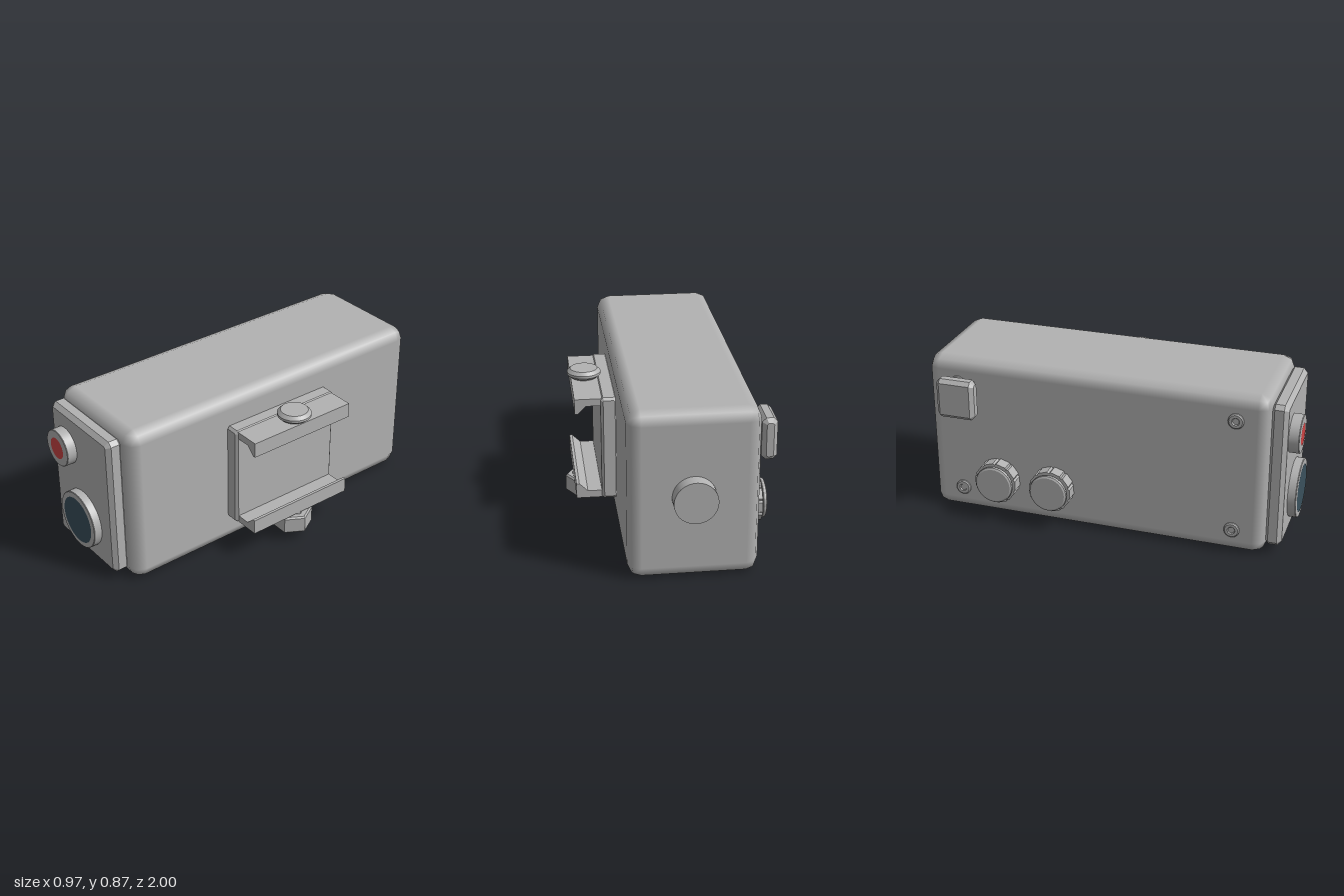
import * as THREE from 'three';
import { RoundedBoxGeometry } from 'three/addons/geometries/RoundedBoxGeometry.js';
import { toCreasedNormals } from 'three/addons/utils/BufferGeometryUtils.js';

const material = (name, color) => {
  const m = new THREE.MeshStandardMaterial({ color });
  m.name = name;
  return m;
};

export function createModel() {
  const grey = material('grey casing', 0xb2b2b2);
  const red = material('red lens', 0xcb4444);
  const blue = material('dark blue glass', 0x3a505c);
  const model = new THREE.Group();
  model.name = 'opticalUnit';

  const add = (name, geometry, mat, x, y, z, parent = model) => {
    const mesh = new THREE.Mesh(geometry, mat);
    mesh.name = name;
    mesh.position.set(x, y, z);
    parent.add(mesh);
    return mesh;
  };
  const polygon = (points) => new THREE.Shape(points.map(([x, y]) => new THREE.Vector2(x, y)));

  // Box with every edge cut at 45 degrees, centred on the origin
  const chamferBox = (w, h, d, c) => {
    const a = w / 2 - c, b = h / 2 - c, k = c * 0.4;
    const shape = polygon([[-a + k, -b], [a - k, -b], [a, -b + k], [a, b - k], [a - k, b], [-a + k, b], [-a, b - k], [-a, -b + k]]);
    const g = new THREE.ExtrudeGeometry(shape, { depth: d - 2 * c, bevelSize: c, bevelThickness: c, bevelSegments: 1 });
    g.translate(0, 0, -(d - 2 * c) / 2);
    return toCreasedNormals(g, 0.3);
  };
  // Turned part: profile of [radius, height] pairs, axis along y
  const turned = (points, sides = 40, crease = 0.5) =>
    toCreasedNormals(new THREE.LatheGeometry(points.map(([r, h]) => new THREE.Vector2(r, h)), sides), crease);

  // Main housing
  add('housing', new RoundedBoxGeometry(0.635, 0.865, 1.8, 1, 0.065), grey, -0.0775, 0.4325, -0.03);

  // Front plate with two lens barrels
  add('frontPlate', chamferBox(0.52, 0.775, 0.09, 0.022), grey, -0.095, 0.433, 0.9);
  const lens = (name, x, y, r, glassR, front, mat) => {
    const back = 0.93;
    const c = 0.003;
    const barrel = turned([[0, 0], [r, 0], [r, front - back - c], [r - c, front - back], [0, front - back]], 48);
    add(name + 'Barrel', barrel.rotateX(Math.PI / 2), grey, x, y, back);
    add(name + 'Glass', new THREE.CircleGeometry(glassR, 48), mat, x, y, front + 0.002);
  };
  lens('upperLens', -0.223, 0.628, 0.098, 0.057, 0.998, red);
  lens('lowerLens', -0.093, 0.26, 0.154, 0.125, 0.988, blue);

  // Round rear connector
  const rear = new THREE.CylinderGeometry(0.106, 0.106, 0.09, 40).rotateX(Math.PI / 2);
  add('rearConnector', rear, grey, -0.074, 0.435, -0.955);

  // Rail clamp on the left flank
  const clamp = new THREE.Group();
  clamp.name = 'railClamp';
  model.add(clamp);
  add('clampPlate', chamferBox(0.085, 0.555, 0.642, 0.013), grey, 0.2725, 0.4325, -0.029, clamp);
  const jaw = polygon([[0.3, 0.16], [0.445, 0.16], [0.445, 0.24], [0.43, 0.24], [0.387, 0.198], [0.3, 0.198]]);
  const upperJaw = polygon([[0.3, 0.705], [0.3, 0.667], [0.387, 0.667], [0.43, 0.625], [0.445, 0.625], [0.445, 0.705]]);
  for (const [name, shape] of [['lowerJaw', jaw], ['upperJaw', upperJaw]]) {
    const g = new THREE.ExtrudeGeometry(shape, { depth: 0.615, bevelEnabled: false });
    add(name, g, grey, 0, 0, -0.337, clamp);
  }
  // Round bolt head above, hexagonal nut below
  add('boltHead', turned([[0, 0], [0.062, 0], [0.062, 0.012], [0.073, 0.012], [0.087, 0.025], [0.087, 0.038],
    [0.07, 0.055], [0, 0.055]], 32), grey, 0.376, 0.7, -0.028, clamp);
  const nut = turned([[0, 0], [0.101, 0], [0.107, 0.006], [0.107, 0.086], [0.098, 0.095], [0.07, 0.095],
    [0.07, 0.108], [0, 0.108]], 6, 0.2);
  add('hexNut', nut.rotateY(Math.PI / 2), grey, 0.378, 0.055, -0.026, clamp);

  // Controls on the right flank, built along +y and turned to face -x
  const onSide = (g) => g.rotateZ(Math.PI / 2);
  add('switchBlock', chamferBox(0.075, 0.212, 0.205, 0.02), grey, -0.4425, 0.67, -0.747);
  add('switchBase', new THREE.BoxGeometry(0.03, 0.15, 0.15), grey, -0.395, 0.67, -0.747);
  for (const z of [-0.55, -0.25]) {
    const knob = new THREE.Group();
    knob.name = 'controlKnob';
    knob.position.set(-0.385, 0.217, z);
    model.add(knob);
    // Grip with shallow notches between its flats
    const points = [];
    for (let i = 0; i < 10; i++) {
      for (const [offset, r] of [[-0.23, 0.114], [0.23, 0.114], [0.314, 0.106]]) {
        const a = (i * Math.PI) / 5 + offset;
        points.push([r * Math.cos(a), r * Math.sin(a)]);
      }
    }
    const grip = new THREE.ExtrudeGeometry(polygon(points), { depth: 0.074, bevelEnabled: false });
    add('knobGrip', grip.rotateY(-Math.PI / 2), grey, 0, 0, 0, knob);
    add('knobCap', onSide(turned([[0, 0.06], [0.088, 0.06], [0.088, 0.078], [0.099, 0.081], [0.101, 0.088],
      [0.099, 0.095], [0.09, 0.1], [0, 0.1]])), grey, 0, 0, 0, knob);
  }

  // Four recessed screws near the corners
  for (const y of [0.13, 0.733]) {
    for (const z of [-0.76, 0.7]) {
      const head = turned([[0.04, 0], [0.04, 0.012], [0.034, 0.017], [0.02, 0.017], [0.016, 0.011], [0, 0.011]], 24);
      add('screw', onSide(head), grey, -0.39, y, z);
    }
  }
  return model;
}
